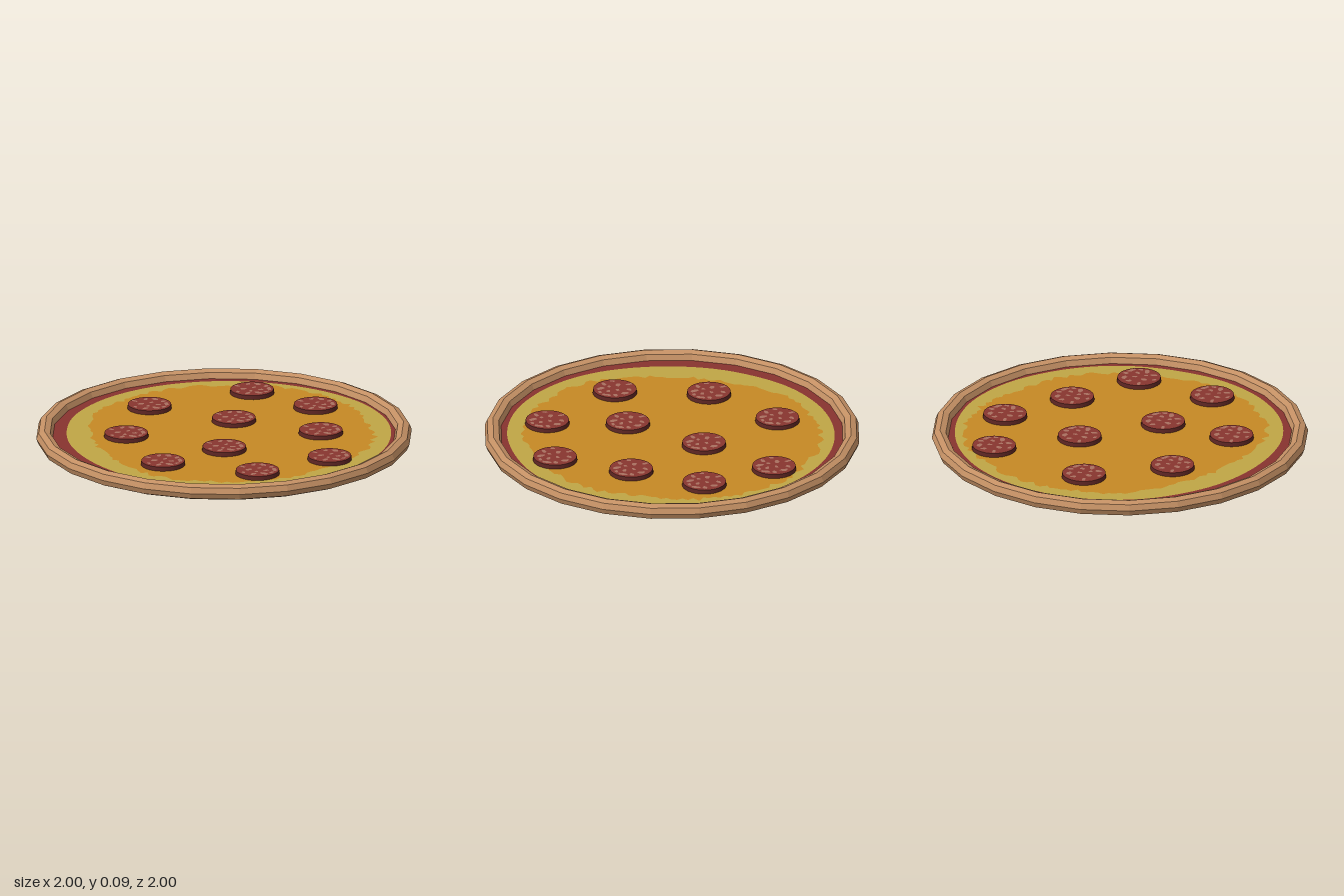
import * as THREE from 'three';

const mat = (name, color, side = THREE.FrontSide, flatShading = false) =>
  Object.assign(new THREE.MeshStandardMaterial({ color, side, flatShading }), { name });

// small seeded random generator
function seeded(seed) {
  let s = seed;
  return () => (s = (s * 16807) % 2147483647) / 2147483647;
}

// smooth closed outline through [x, z] points, returned in shape space (y = -z)
function outline(points, count) {
  const curve = new THREE.CatmullRomCurve3(
    points.map(([x, z]) => new THREE.Vector3(x, -z, 0)), true);
  return curve.getSpacedPoints(count).slice(0, -1).map(p => new THREE.Vector2(p.x, p.y));
}

// flat horizontal layer with an optional cut-out
function layer(name, points, hole, material, y) {
  const shape = new THREE.Shape(points);
  if (hole) shape.holes.push(new THREE.Path(hole));
  const mesh = new THREE.Mesh(new THREE.ShapeGeometry(shape).rotateX(-Math.PI / 2), material);
  mesh.name = name;
  mesh.position.y = y;
  return mesh;
}

export function createModel() {
  const pizza = new THREE.Group();
  pizza.name = 'pizza';

  const crustMat = mat('baked crust', 0xc49064, THREE.FrontSide, true);
  const sauceMat = mat('tomato sauce', 0x88332f, THREE.DoubleSide);
  const paleMat = mat('pale cheese', 0xbfa645, THREE.DoubleSide);
  const goldMat = mat('golden cheese', 0xc68924, THREE.DoubleSide);
  const meatMat = mat('pepperoni', 0x88352f);
  const rimMat = mat('pepperoni rim', 0x5c2522);
  const fatMat = mat('pepperoni fat', 0xa97060);

  const tube = 0.0435, ring = 1 - tube;

  // faceted crust ring
  const crust = new THREE.Mesh(
    new THREE.TorusGeometry(ring, tube, 8, 24).rotateX(Math.PI / 2), crustMat);
  crust.name = 'crust';
  crust.position.y = tube;
  pizza.add(crust);

  // outlines of the filling, nested in one plane
  const sauceEdge = [];
  for (let i = 0; i < 24; i++) {
    const a = i / 24 * Math.PI * 2;
    sauceEdge.push(new THREE.Vector2(Math.cos(a) * 0.94, Math.sin(a) * 0.94));
  }
  const paleEdge = outline([
    [0, -0.87], [0.3, -0.82], [0.57, -0.67], [0.77, -0.45], [0.87, -0.2], [0.888, 0.02],
    [0.84, 0.28], [0.72, 0.51], [0.52, 0.7], [0.28, 0.83], [0, 0.877], [-0.3, 0.82],
    [-0.54, 0.67], [-0.72, 0.43], [-0.82, 0.15], [-0.83, -0.1], [-0.76, -0.38],
    [-0.57, -0.64], [-0.3, -0.81]], 120);

  // golden middle with a ragged edge
  const rand = seeded(77);
  const goldEdge = outline([
    [0, -0.8], [0.28, -0.77], [0.54, -0.63], [0.71, -0.4], [0.78, -0.1], [0.79, 0.12],
    [0.71, 0.36], [0.54, 0.53], [0.34, 0.71], [0.1, 0.78], [-0.15, 0.77], [-0.42, 0.66],
    [-0.59, 0.42], [-0.68, 0.18], [-0.7, -0.1], [-0.66, -0.38], [-0.43, -0.65],
    [-0.22, -0.76]], 170).map(p => p.multiplyScalar(0.975 + rand() * 0.05));

  pizza.add(
    layer('sauce', sauceEdge, paleEdge, sauceMat, tube),
    layer('outerCheese', paleEdge, goldEdge, paleMat, tube),
    layer('meltedCheese', goldEdge, null, goldMat, tube));

  // fat flecks shared by all slices: x, z, length, width, angle
  const radius = 0.118, height = 0.022;
  const flecks = [
    [-0.045, 0.0, 0.022, 0.014, 0.3], [-0.015, -0.075, 0.016, 0.011, 0.9],
    [0.035, -0.07, 0.022, 0.013, 2.2], [0.075, -0.035, 0.017, 0.012, 1.2],
    [0.09, 0.012, 0.028, 0.012, 1.6], [0.045, 0.02, 0.015, 0.011, 0.2],
    [0.03, 0.07, 0.024, 0.013, 2.5], [-0.03, 0.075, 0.018, 0.011, 0.5],
    [-0.08, 0.045, 0.016, 0.009, 1.9], [-0.075, -0.05, 0.018, 0.01, 2.4],
    [0.012, -0.02, 0.013, 0.009, 0.8], [0.07, 0.058, 0.014, 0.009, 0.6],
    [-0.01, 0.035, 0.011, 0.009, 1.4]];
  const fleckShapes = flecks.map(([x, z, l, w, turn]) => {
    const pts = [];
    for (let i = 0; i < 10; i++) {
      const a = i / 10 * Math.PI * 2, k = 0.75 + rand() * 0.5;
      const u = Math.cos(a) * l * k, v = Math.sin(a) * w * k;
      pts.push(new THREE.Vector2(
        x + u * Math.cos(turn) - v * Math.sin(turn),
        -z + u * Math.sin(turn) + v * Math.cos(turn)));
    }
    return new THREE.Shape(pts);
  });
  const fleckGeo = new THREE.ShapeGeometry(fleckShapes).rotateX(-Math.PI / 2);
  const sliceGeo = new THREE.CylinderGeometry(radius - 0.003, radius, height, 32);

  // pepperoni slices scattered over the cheese
  const spots = [
    [0.205, -0.663], [-0.358, -0.46], [0.52, -0.39], [0.07, -0.21], [-0.52, -0.005],
    [0.513, 0.03], [-0.02, 0.26], [-0.364, 0.47], [0.524, 0.46], [0.123, 0.663]];
  for (const [x, z] of spots) {
    const slice = new THREE.Group();
    slice.name = 'pepperoniSlice';
    slice.position.set(x, tube + 0.001, z);
    const body = new THREE.Mesh(sliceGeo, [rimMat, meatMat, meatMat]);
    body.name = 'slice';
    body.position.y = height / 2;
    const fat = new THREE.Mesh(fleckGeo, fatMat);
    fat.name = 'fatFlecks';
    fat.position.y = height + 0.0015;
    slice.add(body, fat);
    pizza.add(slice);
  }
  return pizza;
}
